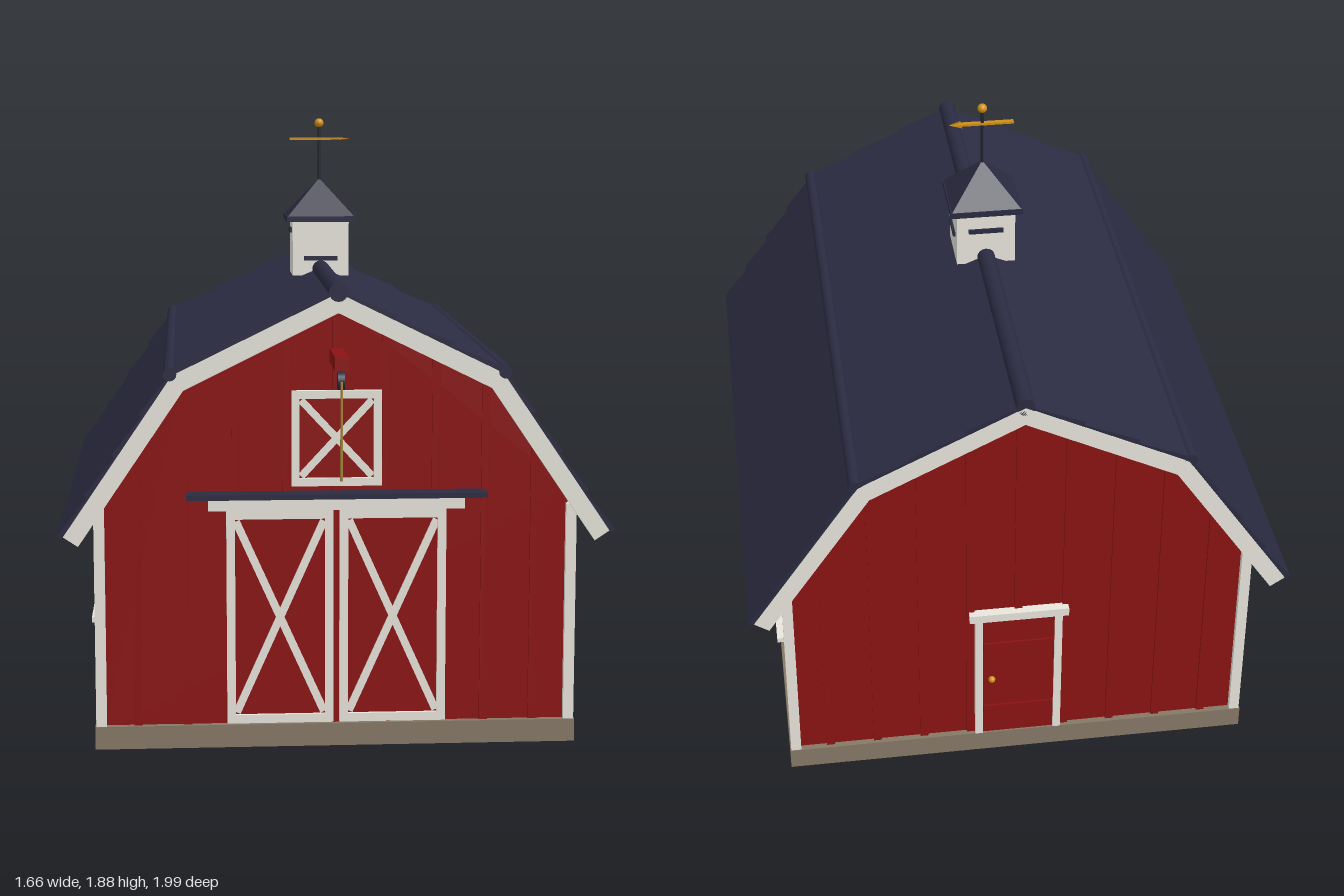
import * as THREE from 'three';

const mat = (name, color) => Object.assign(new THREE.MeshStandardMaterial({ color }), { name });

export function createModel() {
  const M = {
    red: mat('barn red', 0x8b1212),
    white: mat('trim white', 0xe8e6dc),
    roof: mat('roof slate', 0x2b2b42),
    stone: mat('foundation stone', 0x857866),
    glass: mat('window glass', 0x4f9cbc),
    gold: mat('brass', 0xcf8f16),
    wood: mat('soffit wood', 0x80581f),
    rope: mat('rope', 0xa8843c),
    iron: mat('iron', 0x24242c),
  };
  const root = new THREE.Group();
  root.name = 'barn';

  const group = (name, parent = root) => {
    const g = new THREE.Group();
    g.name = name;
    parent.add(g);
    return g;
  };
  const add = (parent, name, geo, material, x = 0, y = 0, z = 0) => {
    const m = new THREE.Mesh(geo, material);
    m.name = name;
    m.position.set(x, y, z);
    parent.add(m);
    return m;
  };
  const box = (parent, name, material, w, h, d, x, y, z) =>
    add(parent, name, new THREE.BoxGeometry(w, h, d), material, x, y, z);
  // Prism along z from a list of [x, y] points
  const prism = (parent, name, material, pts, z0, z1) => {
    const shape = new THREE.Shape(pts.map(p => new THREE.Vector2(p[0], p[1])));
    const geo = new THREE.ExtrudeGeometry(shape, { depth: z1 - z0, bevelEnabled: false });
    return add(parent, name, geo, material, 0, 0, z0);
  };
  const rodZ = (parent, name, material, r, z0, z1, x, y) => {
    const m = add(parent, name, new THREE.CylinderGeometry(r, r, z1 - z0, 16), material, x, y, (z0 + z1) / 2);
    m.rotation.x = Math.PI / 2;
    return m;
  };
  // Rectangular frame facing +z, with an optional crossed brace
  const frame = (parent, w, h, t, d, y, z, cross) => {
    for (const s of [-1, 1]) {
      box(parent, 'stile', M.white, t, h, d, s * (w - t) / 2, y, z);
      box(parent, 'rail', M.white, w - 2 * t, t, d, 0, y + s * (h - t) / 2, z);
      if (!cross) continue;
      const iw = w - 2 * t, ih = h - 2 * t;
      const brace = box(parent, 'brace', M.white, t * 0.9, Math.hypot(iw, ih) - t * 0.6, d * 0.7, 0, y, z - d * 0.1 + s * 0.0005);
      brace.rotation.z = s * Math.atan2(iw, ih);
    }
  };

  const ZC = -0.065, ZF = 0.77, ZB = -0.9;      // body centre, front wall, back wall
  const RF = 0.86, RB = -0.99;                  // roof ends

  // Foundation and gambrel walls
  box(root, 'foundation', M.stone, 1.46, 0.07, 1.71, 0, 0.035, ZC);
  prism(root, 'walls', M.red, [[-0.7, 0.05], [0.7, 0.05], [0.7, 0.79], [0.46, 1.125], [0, 1.35],
    [-0.46, 1.125], [-0.7, 0.79]], ZB, ZF);

  // Vertical battens
  const battens = group('battens');
  const wallTop = x => (x < 0.46 ? 1.35 - x * 0.489 : 1.125 - (x - 0.46) * 1.396) - 0.02;
  for (let i = -4; i <= 4; i++) {
    const x = i * 0.15, h = wallTop(Math.abs(x)) - 0.07;
    for (const z of [ZF, ZB]) box(battens, 'gableBatten', M.red, 0.025, h, 0.016, x, 0.07 + h / 2, z);
  }
  for (const s of [-1, 1])
    for (let i = -5; i <= 5; i++)
      box(battens, 'sideBatten', M.red, 0.016, 0.69, 0.025, s * 0.7, 0.415, ZC + i * 0.152);

  // Corner posts
  for (const x of [-0.711, 0.711])
    for (const z of [0.772, -0.902])
      box(root, 'cornerPost', M.white, 0.032, 0.67, 0.032, x, 0.405, z);

  // Roof: deck, soffit, lapped courses, rolls and bargeboards
  const roof = group('roof');
  const ridge = [0, 1.39], brk = [0.49, 1.15], eave = [0.815, 0.672];
  const band = (a, b) => {                      // gambrel strip between two depths below the roof line
    const line = d => [[0, 1.39 - d * 1.11], [0.49 - d * 0.62, 1.15 - d * 0.85],
      [0.815 - d * 0.83, 0.672 - d * 0.56]];
    const upper = line(a), lower = line(b);
    const whole = l => [...l.slice(1).reverse().map(p => [-p[0], p[1]]), ...l];
    return [...whole(upper), ...whole(lower).reverse()];
  };
  prism(roof, 'deck', M.roof, band(0, 0.025), RB + 0.01, RF - 0.01);
  prism(roof, 'soffit', M.wood, band(0.025, 0.036), RB + 0.01, RF - 0.01);
  prism(roof, 'frontBargeboard', M.white, band(0.002, 0.055), RF - 0.025, RF);
  prism(roof, 'backBargeboard', M.white, band(0.002, 0.055), RB, RB + 0.025);
  const courses = (from, to, n) => {
    const dx = to[0] - from[0], dy = to[1] - from[1], len = Math.hypot(dx, dy);
    const nx = -dy / len, ny = dx / len;
    const at = (t, lift) => [from[0] + dx * t + nx * lift, from[1] + dy * t + ny * lift];
    for (let i = 0; i < n; i++) {
      const a = i / n, b = (i + 1) / n + 0.012;
      const quad = [at(a, -0.002), at(b, -0.002), at(b, 0.015), at(a, 0.004)];
      for (const s of [-1, 1])
        prism(roof, 'roofCourse', M.roof, quad.map(p => [s * p[0], p[1]]), RB + 0.002, RF - 0.002);
    }
  };
  courses(ridge, brk, 3);
  courses(brk, eave, 4);
  rodZ(roof, 'ridgeCap', M.roof, 0.028, RB, RF + 0.002, 0, 1.39);
  for (const s of [-1, 1]) rodZ(roof, 'breakRoll', M.roof, 0.02, RB, RF + 0.001, s * 0.495, 1.152);

  // Front sliding doors with rail and canopy
  const doors = group('slidingDoors');
  for (const s of [-1, 1]) {
    const door = group('slidingDoor', doors);
    door.position.x = s * 0.17;
    box(door, 'doorPanel', M.red, 0.318, 0.65, 0.012, 0, 0.402, 0.775);
    frame(door, 0.322, 0.655, 0.026, 0.014, 0.402, 0.785, true);
  }
  box(doors, 'doorHeader', M.white, 0.77, 0.034, 0.04, 0, 0.749, 0.785);
  box(doors, 'doorCanopy', M.roof, 0.9, 0.016, 0.065, 0, 0.778, 0.802);

  // Hayloft hatch
  const loft = group('loftHatch');
  box(loft, 'hatchPanel', M.red, 0.25, 0.27, 0.012, 0, 0.947, 0.776);
  frame(loft, 0.27, 0.288, 0.024, 0.016, 0.947, 0.786, true);

  // Hoist beam, pulley and rope
  const hoist = group('hoist');
  box(hoist, 'hoistBeam', M.red, 0.04, 0.04, 0.25, 0, 1.195, 0.875);
  const pulley = add(hoist, 'pulley', new THREE.CylinderGeometry(0.027, 0.027, 0.02, 20), M.roof, 0, 1.143, 0.963);
  pulley.rotation.z = Math.PI / 2;
  box(hoist, 'pulleyHanger', M.iron, 0.008, 0.04, 0.01, 0, 1.165, 0.963);
  add(hoist, 'rope', new THREE.CylinderGeometry(0.004, 0.004, 0.29, 8), M.rope, 0, 0.998, 0.99);

  // Side windows, built facing +z and turned outward
  for (const s of [-1, 1])
    for (const z of [0.46, ZC, -0.59]) {
      const win = group('window');
      win.position.set(s * 0.7, 0, z);
      win.rotation.y = s * Math.PI / 2;
      box(win, 'glass', M.glass, 0.15, 0.15, 0.02, 0, 0.45, 0.002);
      frame(win, 0.18, 0.18, 0.02, 0.03, 0.45, 0.008);
      box(win, 'muntinVertical', M.white, 0.009, 0.142, 0.008, 0, 0.45, 0.014);
      box(win, 'muntinHorizontal', M.white, 0.142, 0.009, 0.0075, 0, 0.465, 0.014);
      box(win, 'sill', M.white, 0.235, 0.016, 0.045, 0, 0.35, 0.0225);
    }

  // Back door, built facing +z and turned around
  const back = group('backDoor');
  back.position.z = ZB;
  back.rotation.y = Math.PI;
  box(back, 'doorPanel', M.red, 0.23, 0.47, 0.016, 0, 0.305, 0.006);
  for (const y of [0.17, 0.43]) box(back, 'doorLedge', M.red, 0.22, 0.03, 0.01, 0, y, 0.015);
  for (const s of [-1, 1]) box(back, 'doorJamb', M.white, 0.024, 0.48, 0.022, s * 0.125, 0.31, 0.01);
  box(back, 'doorLintel', M.white, 0.31, 0.028, 0.03, 0, 0.557, 0.015);
  add(back, 'doorKnob', new THREE.SphereGeometry(0.011, 16, 12), M.gold, -0.085, 0.3, 0.024);

  // Cupola with one vent slat per side
  const cupola = group('cupola');
  cupola.position.z = ZC;
  box(cupola, 'cupolaBody', M.white, 0.185, 0.185, 0.185, 0, 1.46, 0);
  for (let i = 0; i < 4; i++) {
    const side = group('ventSide', cupola);
    side.rotation.y = i * Math.PI / 2;
    box(side, 'vent', M.roof, 0.11, 0.014, 0.016, 0, 1.425 + i * 0.03, 0.092);
  }
  box(cupola, 'cupolaEave', M.roof, 0.226, 0.018, 0.226, 0, 1.555, 0);
  const cap = new THREE.ConeGeometry(0.155, 0.122, 4, 1).toNonIndexed();
  cap.rotateY(Math.PI / 4);
  cap.computeVertexNormals();
  add(cupola, 'cupolaRoof', cap, M.roof, 0, 1.624, 0);

  // Weather vane
  const vane = group('weatherVane', cupola);
  add(vane, 'vanePole', new THREE.CylinderGeometry(0.005, 0.005, 0.2, 10), M.iron, 0, 1.77, 0);
  add(vane, 'vaneBall', new THREE.SphereGeometry(0.015, 16, 12), M.gold, 0, 1.867, 0);
  box(vane, 'vaneArrow', M.gold, 0.17, 0.007, 0.016, -0.013, 1.815, 0);
  const head = add(vane, 'vaneHead', new THREE.ConeGeometry(0.026, 0.04, 4), M.gold, 0.085, 1.815, 0);
  head.rotation.z = -Math.PI / 2;
  head.scale.x = 0.18;

  return root;
}
